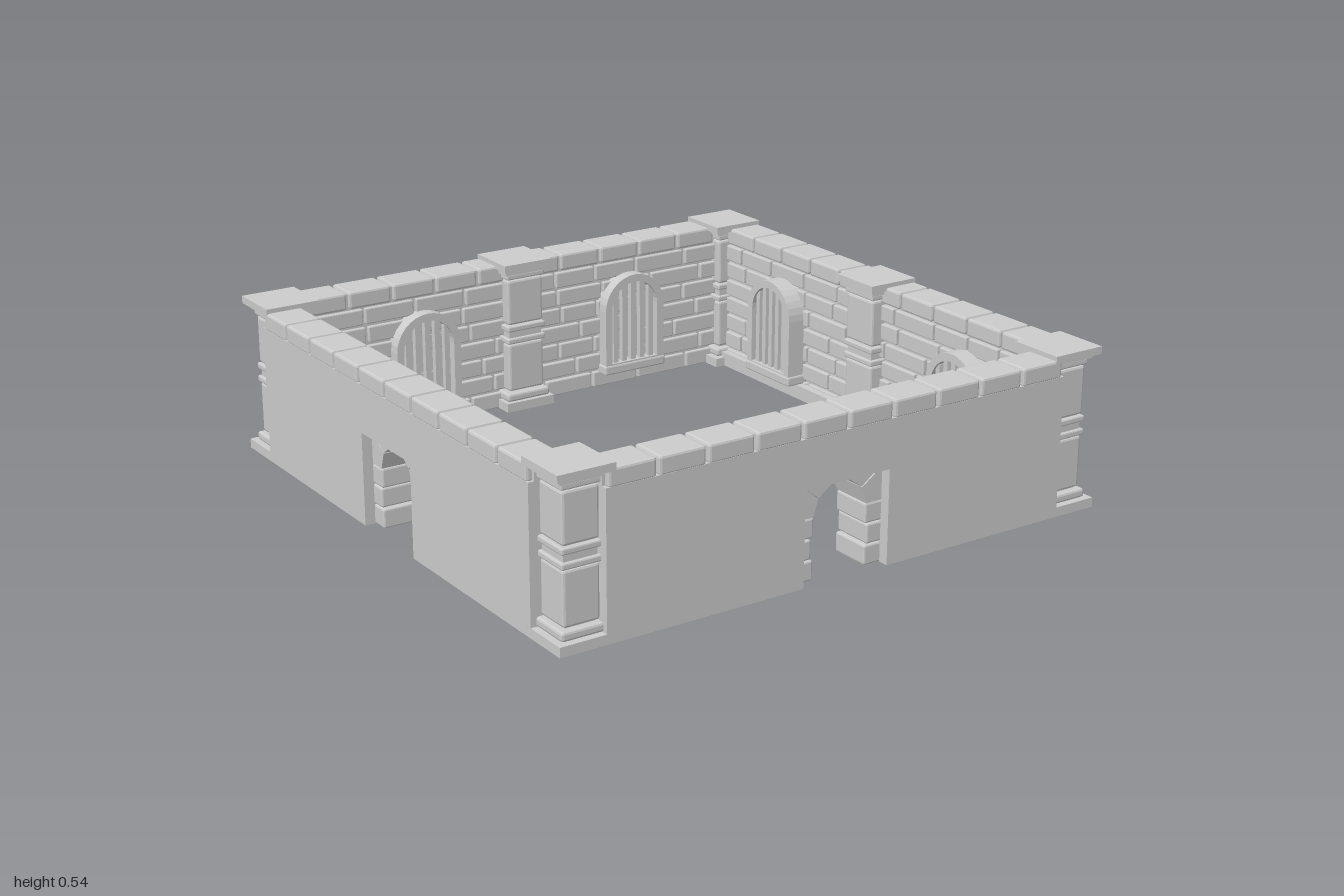
import * as THREE from 'three';
import { RoundedBoxGeometry } from 'three/addons/geometries/RoundedBoxGeometry.js';

const stone = new THREE.MeshStandardMaterial({ color: 0xcccccc, flatShading: true });

function add(parent, name, geometry) {
  const mesh = new THREE.Mesh(geometry, stone);
  mesh.name = name;
  parent.add(mesh);
  return mesh;
}

// Box given by its limits; a bevel above zero chamfers the edges
function block(parent, name, x0, x1, y0, y1, z0, z1, bevel = 0) {
  const size = [x1 - x0, y1 - y0, z1 - z0];
  const geo = bevel ? new RoundedBoxGeometry(...size, 1, bevel) : new THREE.BoxGeometry(...size);
  add(parent, name, geo).position.set((x0 + x1) / 2, (y0 + y1) / 2, (z0 + z1) / 2);
}

// Outline extruded between two depths
function slab(parent, name, shape, z0, z1) {
  const geo = new THREE.ExtrudeGeometry(shape, { depth: z1 - z0, bevelEnabled: false, curveSegments: 8 });
  add(parent, name, geo).position.z = z0;
}

function polygon(points) {
  return new THREE.Shape(points.map(([x, y]) => new THREE.Vector2(x, y)));
}

function seeded(seed) {
  return () => (seed = (seed * 16807) % 2147483647) / 2147483647;
}

// Square pillar: base, shaft stones, bands and cap [bottom, top, width, bevel]
function pillar(parent, name, x, z, shaft) {
  const group = new THREE.Group();
  group.name = name;
  const layers = [
    [0, 0.032, 0.19, 0], [0.032, 0.062, shaft + 0.03, 0.008],
    [0.066, 0.24, shaft, 0.008],
    [0.243, 0.264, shaft + 0.012, 0.005], [0.264, 0.288, shaft - 0.01, 0], [0.288, 0.309, shaft + 0.012, 0.005],
    [0.312, 0.475, shaft, 0.008],
    [0.479, 0.5, shaft + 0.012, 0.005], [0.5, 0.516, shaft + 0.03, 0], [0.515, 0.54, 0.19, 0],
  ];
  block(group, 'pillarCore', -0.05, 0.05, 0.01, 0.52, -0.05, 0.05);
  for (const [y0, y1, w, b] of layers) {
    block(group, 'pillarStone', -w / 2, w / 2, y0, y1, -w / 2, w / 2, b);
  }
  group.position.set(x, 0, z);
  parent.add(group);
}

// Stone doorway: stacked jambs and a ring of wedge stones
const ARCH_Y = 0.2, ARCH_IN = 0.1, ARCH_OUT = 0.22;
function doorway(parent) {
  const group = new THREE.Group();
  group.name = 'archedDoorway';
  for (const side of [-1, 1]) {
    for (let i = 0; i < 3; i++) {
      const inner = i === 1 ? 0.105 : 0.097;
      const outer = i === 1 ? 0.21 : 0.22;
      const [a, b] = side > 0 ? [inner, outer] : [-outer, -inner];
      block(group, 'jambStone', a, b, i * 0.068, i * 0.068 + 0.065, 0.825, 0.965, 0.006);
    }
  }
  const count = 5, gap = 0.015;
  for (let i = 0; i < count; i++) {
    const a = (i / count) * Math.PI + gap, b = ((i + 1) / count) * Math.PI - gap;
    const at = (r, t) => [r * Math.cos(t), ARCH_Y + r * Math.sin(t)];
    const out = i % 2 ? ARCH_OUT - 0.004 : ARCH_OUT + 0.008;
    const wedge = polygon([at(ARCH_IN, a), at(out, a), at(out, b), at(ARCH_IN, b)]);
    slab(group, 'archStone', wedge, i % 2 ? 0.83 : 0.822, 0.965);
  }
  // Mortar bed behind the ring joints
  const bed = new THREE.Shape();
  bed.absarc(0, ARCH_Y, ARCH_OUT - 0.04, 0, Math.PI, false);
  bed.absarc(0, ARCH_Y, ARCH_IN + 0.012, Math.PI, 0, true);
  slab(group, 'archMortar', bed, 0.845, 0.955);
  parent.add(group);
}

function archOutline(half, y0, spring) {
  const s = new THREE.Shape();
  s.moveTo(-half, y0);
  s.lineTo(half, y0);
  s.lineTo(half, spring);
  s.absarc(0, spring, half, 0, Math.PI, false);
  s.lineTo(-half, y0);
  return s;
}

// Barred arched window with a projecting frame and sill
function barredWindow(parent, x, front) {
  const group = new THREE.Group();
  group.name = 'barredWindow';
  const frame = archOutline(0.125, 0.07, 0.29);
  frame.holes.push(archOutline(0.098, 0.09, 0.29));
  slab(group, 'windowFrame', frame, front + 0.004, 0.89);
  slab(group, 'windowPanel', archOutline(0.105, 0.08, 0.29), 0.876, 0.89);
  for (let i = -2; i <= 2; i++) {
    const bx = i * 0.038;
    const top = 0.29 + Math.sqrt(0.102 ** 2 - bx ** 2);
    block(group, 'windowBar', bx - 0.01, bx + 0.01, 0.08, top, front + 0.014, front + 0.034);
  }
  block(group, 'windowSill', -0.13, 0.13, 0.05, 0.085, front, 0.89, 0.006);
  group.position.x = x;
  parent.add(group);
}

// Rows of bricks on the inner face, leaving room for the doorway
function brickwork(parent, hasDoor, seed) {
  const random = seeded(seed);
  const group = new THREE.Group();
  group.name = 'brickwork';
  const rows = 7, rowHeight = 0.067, joint = 0.011;
  for (let row = 0; row < rows; row++) {
    const y = row * rowHeight;
    const rise = Math.max(0, y + rowHeight / 2 - ARCH_Y);
    const clear = hasDoor && rise < 0.2 ? Math.sqrt(0.04 - rise * rise) : 0;
    const spans = clear ? [[-0.85, -clear], [clear, 0.85]] : [[-0.85, 0.85]];
    for (const [start, end] of spans) {
      let x = start, first = true;
      while (x < end - 0.02) {
        let w = 0.14 + random() * 0.08;
        if (first && row % 2) w *= 0.5;
        if (end - x - w < 0.07) w = end - x;
        const face = 0.873 + random() * 0.004;
        block(group, 'brick', x, x + w - joint, y, y + rowHeight - joint, face, 0.905, 0.004);
        x += w;
        first = false;
      }
    }
  }
  parent.add(group);
}

// One wall along local x, its outer face at z = 1
function wall(name, turn, { door = false, plinth = true, windows = [], front = 0.82, seed }) {
  const group = new THREE.Group();
  group.name = name;
  const outline = door
    ? [[-0.845, 0], [-0.157, 0], [-0.157, 0.31], [0.157, 0.31], [0.157, 0], [0.845, 0], [0.845, 0.47], [-0.845, 0.47]]
    : [[-0.845, 0], [0.845, 0], [0.845, 0.47], [-0.845, 0.47]];
  slab(group, 'wallCore', polygon(outline), 0.89, 1);
  brickwork(group, door, seed);

  // Plinth along the foot of the inner face
  if (plinth) {
    const spans = door ? [[-0.85, -0.21], [0.21, 0.85]] : [[-0.85, 0.85]];
    for (const [a, b] of spans) block(group, 'plinth', a, b, 0, 0.05, 0.848, 0.895);
  }

  // Coping stones, with a recessed mortar bed in the joints
  const pitch = 0.168;
  for (let i = -5; i < 5; i++) {
    const a = Math.max(i * pitch, -0.845) + 0.005, b = Math.min((i + 1) * pitch, 0.845) - 0.005;
    block(group, 'copingStone', a, b, 0.465, 0.525, 0.872, 1, 0.008);
  }
  block(group, 'copingMortar', -0.845, 0.845, 0.465, 0.517, 0.885, 0.98);

  if (door) doorway(group);
  else pillar(group, 'middlePillar', 0, 0.904, 0.14);
  for (const x of windows) barredWindow(group, x, front);
  group.rotation.y = turn;
  return group;
}

export function createModel() {
  const model = new THREE.Group();
  model.name = 'walledCourtyard';
  model.add(
    wall('frontWall', 0, { door: true, seed: 11 }),
    wall('rightWall', -Math.PI / 2, { door: true, seed: 23 }),
    wall('backWall', Math.PI, { plinth: false, windows: [0.39, -0.46], front: 0.828, seed: 37 }),
    wall('leftWall', Math.PI / 2, { windows: [0.49, -0.51], front: 0.806, seed: 51 }),
  );
  for (const x of [-1, 1]) {
    for (const z of [-1, 1]) pillar(model, 'cornerPillar', x * 0.905, z * 0.905, 0.122);
  }
  return model;
}
